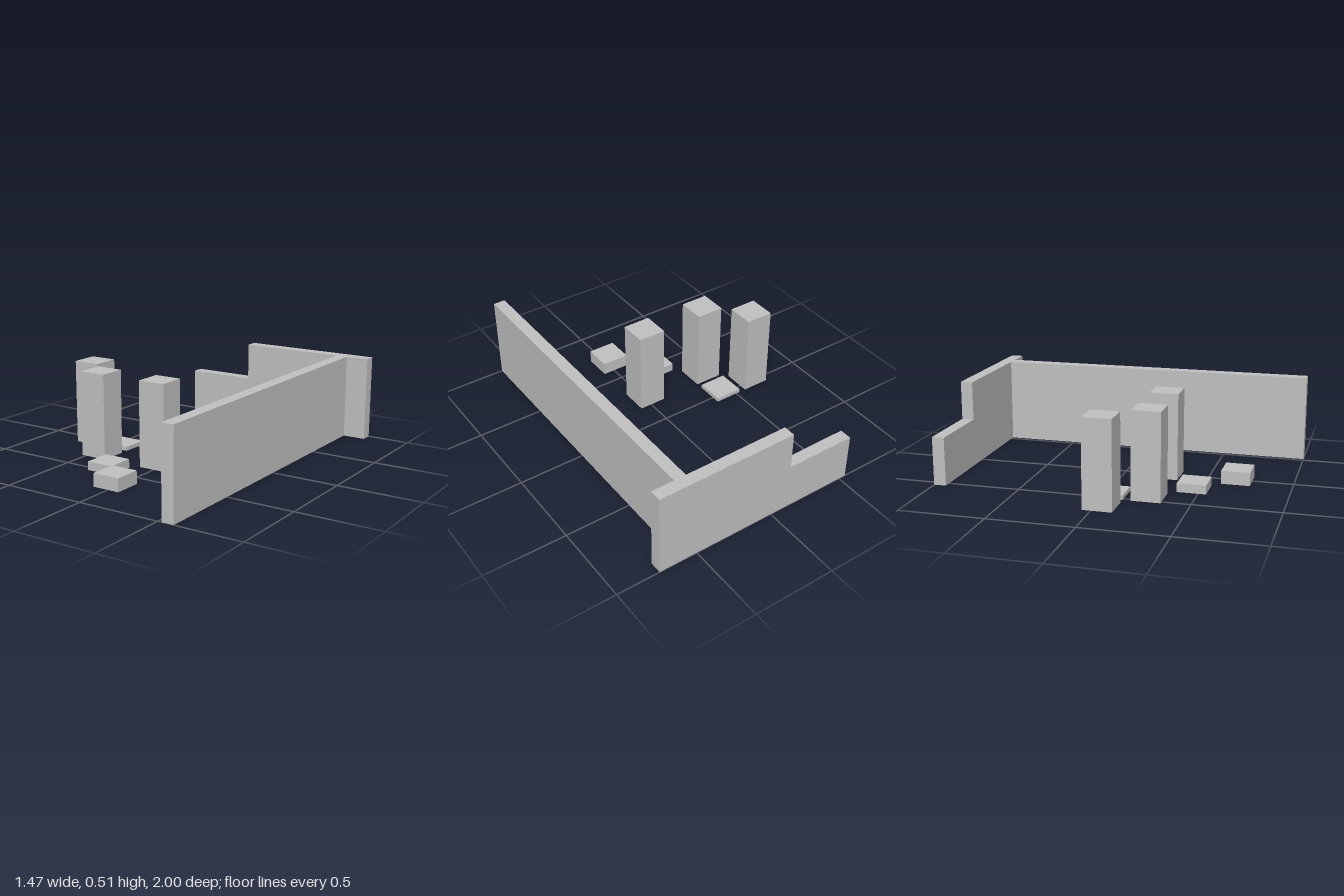
import * as THREE from 'three';

export function createModel() {
  const model = new THREE.Group();
  model.name = 'wallsAndPillars';
  const grey = new THREE.MeshStandardMaterial({ color: 0xc0c0c0 });
  grey.name = 'plain grey';

  const wallHeight = 0.515;

  // Box standing on the ground, centred on x and z
  function addBlock(name, x, z, width, height, depth) {
    const mesh = new THREE.Mesh(new THREE.BoxGeometry(width, height, depth), grey);
    mesh.name = name;
    mesh.position.set(x, height / 2, z);
    model.add(mesh);
  }

  // Back wall: stepped outline, lower towards -x
  const outline = new THREE.Shape([
    [-0.545, 0], [0.737, 0], [0.737, wallHeight],
    [-0.118, wallHeight], [-0.118, 0.285], [-0.545, 0.285],
  ].map(([x, y]) => new THREE.Vector2(x, y)));
  const backWall = new THREE.Mesh(
    new THREE.ExtrudeGeometry(outline, { depth: 0.073, bevelEnabled: false }), grey);
  backWall.name = 'backWall';
  backWall.position.z = -1;
  model.add(backWall);

  // Long side wall running forward from the back wall
  addBlock('sideWall', 0.561, 0.0365, 0.073, wallHeight, 1.927);

  // Square pillars and low slabs: name, x, z, height
  const blocks = [
    ['outerPillar', -0.653, 0.035, wallHeight],
    ['middlePillar', -0.439, 0.249, wallHeight],
    ['innerPillar', -0.013, 0.249, wallHeight],
    ['thinSlab', -0.439, 0.035, 0.025],
    ['middleSlab', -0.226, 0.461, 0.052],
    ['thickSlab', -0.013, 0.676, 0.079],
  ];
  for (const [name, x, z, height] of blocks) addBlock(name, x, z, 0.169, height, 0.169);

  return model;
}
